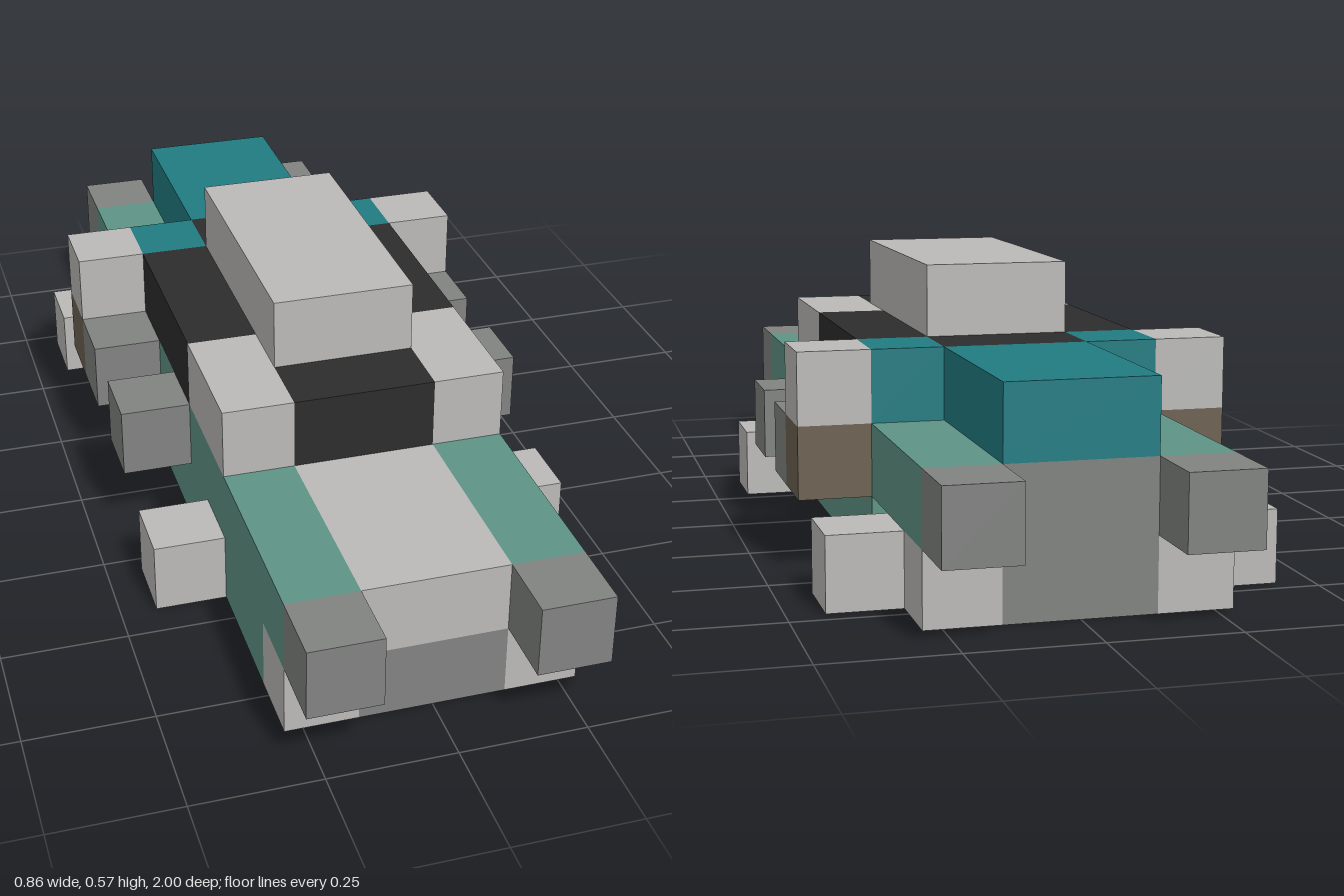
import * as THREE from 'three';

const U = 1 / 7; // size of one block

export function createModel() {
  const group = new THREE.Group();
  const mat = (name, color) => {
    const m = new THREE.MeshStandardMaterial({ color });
    m.name = name;
    return m;
  };
  const light = mat('light grey', 0xbbbab8);
  const dark = mat('dark grey', 0x818381);
  const black = mat('black', 0x2d2d2d);
  const green = mat('sea green', 0x5e9385);
  const teal = mat('teal', 0x217c82);
  const brown = mat('brown', 0x6d6252);

  // Box given by its limits in block units
  const box = (name, m, [x0, x1], [y0, y1], [z0, z1]) => {
    const mesh = new THREE.Mesh(
      new THREE.BoxGeometry((x1 - x0) * U, (y1 - y0) * U, (z1 - z0) * U), m);
    mesh.position.set((x0 + x1) / 2 * U, (y0 + y1) / 2 * U, (z0 + z1) / 2 * U);
    mesh.name = name;
    group.add(mesh);
  };
  // The same box on both sides
  const pair = (name, m, [x0, x1], y, z) => {
    box(name + 'Left', m, [x0, x1], y, z);
    box(name + 'Right', m, [-x1, -x0], y, z);
  };
  const mid = [-1, 1], side = [1, 2], outer = [2, 3];

  // Lower chassis: rails, bumpers and axles around an open underside
  pair('rail', green, side, [0, 1], [-3, 2]);
  pair('frontRail', green, side, [0, 1], [3, 5]);
  box('frontCrossbar', green, mid, [0, 1], [4, 5]);
  box('frontGrille', dark, mid, [0, 1], [5, 6]);
  pair('frontBumper', light, side, [0, 1], [5, 6]);
  box('rearPanel', dark, mid, [0, 2], [-6, -5]);
  pair('rearBumper', light, side, [0, 1], [-6, -5]);
  for (const [end, z] of [['front', [2, 3]], ['rear', [-5, -4]]]) {
    pair(end + 'Axle', black, side, [0, 1], z);
    pair(end + 'Wheel', light, outer, [0, 1], z);
  }

  // Main deck
  pair('sideDeck', green, side, [1, 2], [-6, 6]);
  box('floor', green, mid, [1, 2], [-5, 3]);
  box('hoodBase', green, mid, [1, 1.5], [3, 5]);
  box('hood', light, mid, [1.5, 2], [3, 5]);
  box('nose', light, mid, [1, 2], [5, 6]);
  pair('headlight', dark, side, [1, 2], [6, 7]);
  pair('exhaust', dark, side, [1, 2], [-7, -6]);

  // Blocks on the flanks
  pair('frontSideBlock', dark, outer, [1, 2], [0, 1]);
  pair('rearSideBlock', dark, outer, [1, 2], [-2, -1]);
  pair('intakeBase', brown, outer, [1, 2], [-3, -2]);
  pair('intake', light, outer, [2, 3], [-3, -2]);

  // Cabin and rear box
  box('cabin', black, mid, [2, 3], [-3, 3]);
  pair('sideWindow', black, side, [2, 3], [-2, 1]);
  pair('frontPillar', light, side, [2, 3], [1, 3]);
  pair('rearShoulder', teal, side, [2, 3], [-3, -2]);
  box('roof', light, mid, [3, 4], [-2, 2]);
  box('rearBox', teal, mid, [2, 3], [-6, -3]);

  return group;
}
